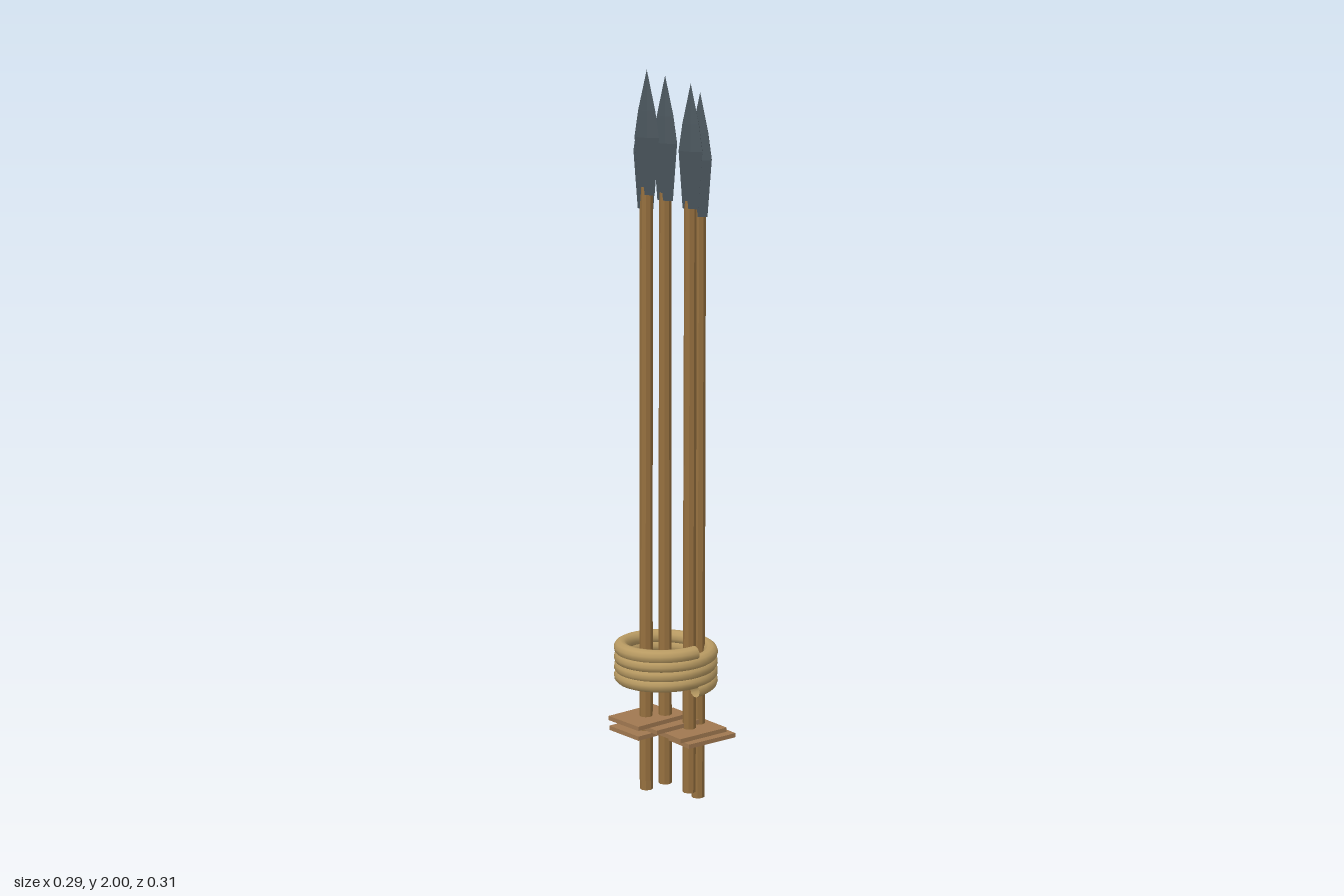
import * as THREE from 'three';

const wood = new THREE.MeshStandardMaterial({ color: 0x96703f, flatShading: true });
const vane = new THREE.MeshStandardMaterial({ color: 0xa07850, flatShading: true });
const iron = new THREE.MeshStandardMaterial({ color: 0x4a555c, flatShading: true });
const hemp = new THREE.MeshStandardMaterial({ color: 0xb89a62, side: THREE.DoubleSide });

// butt [x, y, z], tip [x, y, z], twist of the spear about its own axis
const SPEARS = [
  [[-0.031, 0.06, 0.056], [-0.029, 2.0, 0.05], 0.03],
  [[-0.058, 0.02, 0.032], [-0.06, 1.96, 0.03], 0.02],
  [[-0.008, 0.045, 0.006], [0.0, 1.985, 0.012], 0.0],
  [[0.058, 0.03, -0.025], [0.056, 1.965, -0.028], -0.02],
  [[0.041, 0.0, -0.072], [0.04, 1.94, -0.074], -0.03],
];

function mesh(name, geometry, material) {
  const m = new THREE.Mesh(geometry, material);
  m.name = name;
  return m;
}

// Leaf-shaped head: a six-sided lathe flattened front to back
function headGeometry(length) {
  const profile = [[0, 0], [0.032, 0], [0.049, 0.15], [0.034, 0.22], [0, length]]
    .map(([r, y]) => new THREE.Vector2(r, y));
  const g = new THREE.LatheGeometry(profile, 6, Math.PI / 2);
  return g.scale(1, 1, 0.48);
}

function spear([butt, tip, twist], i) {
  const a = new THREE.Vector3(...butt);
  const axis = new THREE.Vector3(...tip).sub(a);
  const length = axis.length();
  const headLength = 0.325;
  const shaftLength = length - headLength + 0.02;
  const g = new THREE.Group();
  g.name = `spear${i + 1}`;

  const shaft = mesh('shaft', new THREE.CylinderGeometry(0.0165, 0.0185, shaftLength, 8), wood);
  shaft.position.y = shaftLength / 2;

  const head = mesh('spearHead', headGeometry(headLength), iron);
  head.position.y = length - headLength;

  // Flat plate around the lower shaft
  const plate = mesh('plate', new THREE.BoxGeometry(0.126, 0.012, 0.163), vane);
  plate.position.y = 0.178;

  g.add(shaft, head, plate);
  g.position.copy(a);
  g.quaternion.setFromUnitVectors(new THREE.Vector3(0, 1, 0), axis.normalize());
  g.rotateY(twist);
  return g;
}

// Four turns of rope wound upward around the bundle
class Coil extends THREE.Curve {
  getPoint(t, target = new THREE.Vector3()) {
    const angle = t * 4 * Math.PI * 2;
    return target.set(0.1235 * Math.cos(angle), 0.343 + 0.106 * t, 0.01 - 0.1235 * Math.sin(angle));
  }
}

export function createModel() {
  const model = new THREE.Group();
  model.name = 'spearBundle';
  SPEARS.forEach((s, i) => model.add(spear(s, i)));
  model.add(mesh('ropeCoil', new THREE.TubeGeometry(new Coil(), 128, 0.0195, 10), hemp));
  return model;
}
